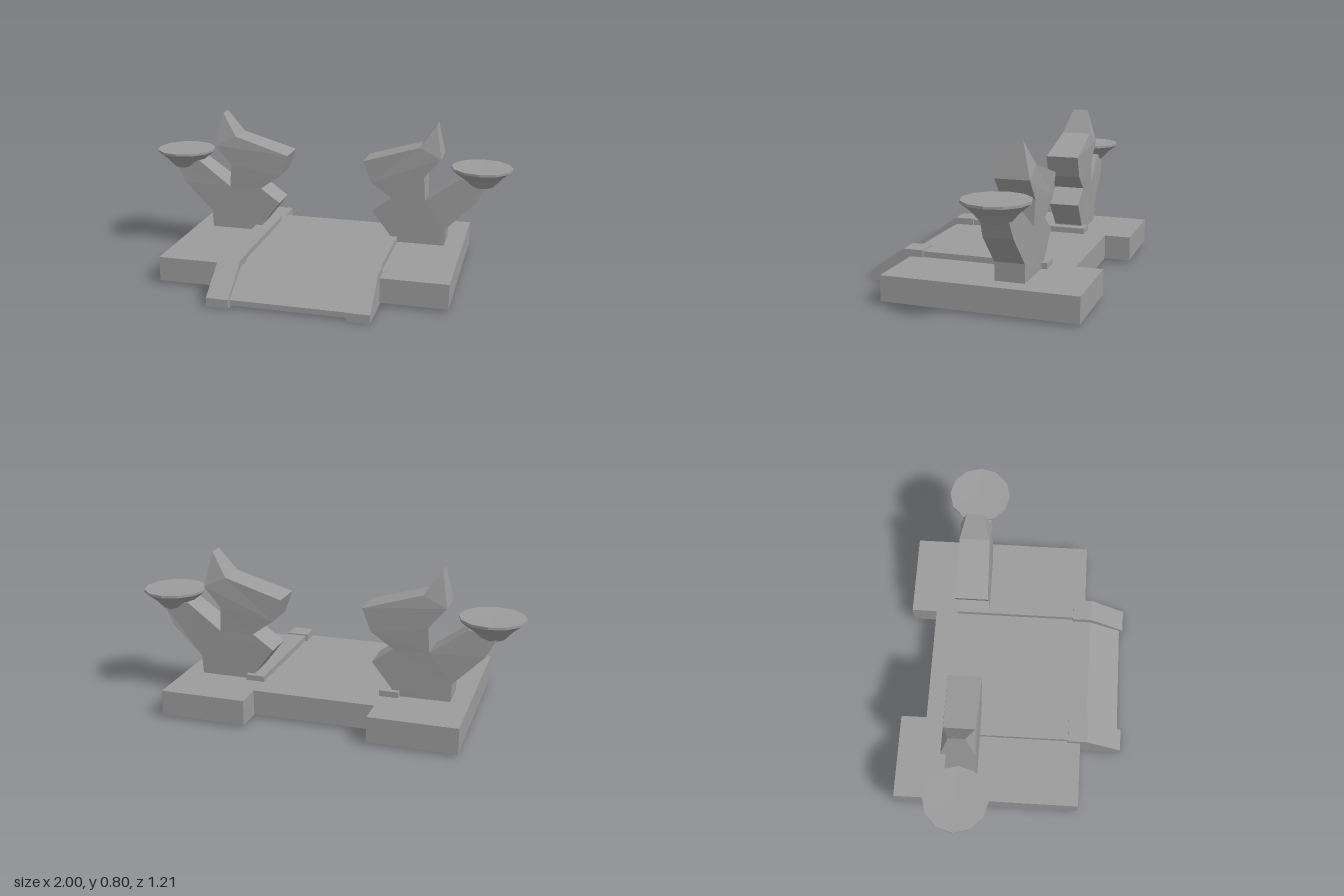
import * as THREE from 'three';

const material = new THREE.MeshStandardMaterial({ color: 0x9b9b9b, flatShading: true, side: THREE.DoubleSide });

function add(parent, name, geometry) {
  const mesh = new THREE.Mesh(geometry, material);
  mesh.name = name;
  parent.add(mesh);
  return mesh;
}

// Removes the triangles lying on the lowest plane, leaving a hollow shell
function openBottom(geometry) {
  const src = geometry.index ? geometry.toNonIndexed() : geometry;
  src.computeBoundingBox();
  const low = src.boundingBox.min.y + 1e-4;
  const p = src.attributes.position;
  const kept = [];
  for (let i = 0; i < p.count; i += 3) {
    if (Math.max(p.getY(i), p.getY(i + 1), p.getY(i + 2)) < low) continue;
    for (let k = i; k < i + 3; k++) kept.push(p.getX(k), p.getY(k), p.getZ(k));
  }
  const out = new THREE.BufferGeometry();
  out.setAttribute('position', new THREE.Float32BufferAttribute(kept, 3));
  out.computeVertexNormals();
  return out;
}

function shellBox(x0, x1, y0, y1, z0, z1) {
  const box = new THREE.BoxGeometry(Math.abs(x1 - x0), y1 - y0, z1 - z0);
  box.translate((x0 + x1) / 2, (y0 + y1) / 2, (z0 + z1) / 2);
  return openBottom(box);
}

// Hollow wedge: [z, y] profile swept along x
function shellWedge(profile, x0, x1) {
  const shape = new THREE.Shape(profile.map(([z, y]) => new THREE.Vector2(-z, y)));
  const geo = new THREE.ExtrudeGeometry(shape, { depth: Math.abs(x1 - x0), bevelEnabled: false });
  geo.rotateY(Math.PI / 2);
  geo.translate(Math.min(x0, x1), 0, 0);
  return openBottom(geo);
}

// Extruded outline of [x, y, halfDepth] points, each corner with its own depth
function taperedSlab(points, side, zMid) {
  const outline = points.map(([x, y, h]) => ({ x: x * side, y, h }));
  const shape = new THREE.Shape(outline.map(q => new THREE.Vector2(q.x, q.y)));
  const geo = new THREE.ExtrudeGeometry(shape, { depth: 1, bevelEnabled: false });
  const p = geo.attributes.position;
  for (let i = 0; i < p.count; i++) {
    const q = outline.find(o => Math.hypot(o.x - p.getX(i), o.y - p.getY(i)) < 1e-4);
    p.setZ(i, zMid + (p.getZ(i) - 0.5) * 2 * q.h);
  }
  geo.computeVertexNormals();
  return geo;
}

// Statue pieces, meeting along shared edges
const statueParts = {
  torso: [
    [0.365, 0.14, 0.076], [0.66, 0.14, 0.074], [0.665, 0.24, 0.075], [0.55, 0.39, 0.08],
    [0.37, 0.392, 0.081], [0.262, 0.315, 0.081], [0.365, 0.18, 0.077],
  ],
  arm: [
    [0.665, 0.24, 0.075], [0.82, 0.395, 0.073], [0.875, 0.50, 0.067],
    [0.735, 0.525, 0.07], [0.55, 0.39, 0.08],
  ],
  neck: [[0.37, 0.392, 0.081], [0.55, 0.39, 0.08], [0.542, 0.52, 0.085], [0.255, 0.475, 0.087]],
  crown: [
    [0.255, 0.475, 0.087], [0.542, 0.52, 0.085], [0.63, 0.625, 0.086],
    [0.512, 0.68, 0.079], [0.212, 0.59, 0.087],
  ],
  ear: [[0.512, 0.68, 0.079], [0.63, 0.625, 0.086], [0.595, 0.803, 0.041]],
};
const cheekProfile = [[0.305, 0], [0.605, 0], [0.605, 0.045], [0.415, 0.182], [0.31, 0.182]];
const rampProfile = [[0.325, 0.01], [0.585, 0.01], [0.585, 0.038], [0.41, 0.145], [0.325, 0.145]];
const dishProfile = [[0, 0.478], [0.07, 0.478], [0.112, 0.525], [0.163, 0.566], [0.163, 0.578], [0, 0.572]];

export function createModel() {
  const model = new THREE.Group();
  model.name = 'entrancePlatform';

  // Middle floor and sloping entrance
  add(model, 'centerFloor', shellBox(-0.315, 0.315, 0.015, 0.145, -0.467, 0.325));
  add(model, 'ramp', shellWedge(rampProfile, -0.297, 0.297));

  for (const side of [1, -1]) {
    const half = new THREE.Group();
    half.name = side > 0 ? 'leftSide' : 'rightSide';
    model.add(half);

    // Plinth, rail and ramp cheek
    add(half, 'plinth', shellBox(0.315 * side, 0.757 * side, 0.015, 0.145, -0.605, 0.378));
    add(half, 'rail', shellBox(0.308 * side, 0.405 * side, 0.145, 0.175, -0.345, 0.315));
    add(half, 'rampCheek', shellWedge(cheekProfile, 0.297 * side, 0.414 * side));

    // Faceted statue with a raised arm
    const statue = new THREE.Group();
    statue.name = 'statue';
    half.add(statue);
    for (const [name, outline] of Object.entries(statueParts)) {
      add(statue, name, taperedSlab(outline, side, -0.242));
    }

    // Dish held on the arm
    const dish = add(statue, 'dish', new THREE.LatheGeometry(
      dishProfile.map(([r, y]) => new THREE.Vector2(r, y)), 12));
    dish.position.set(0.837 * side, 0, -0.24);
  }
  return model;
}
